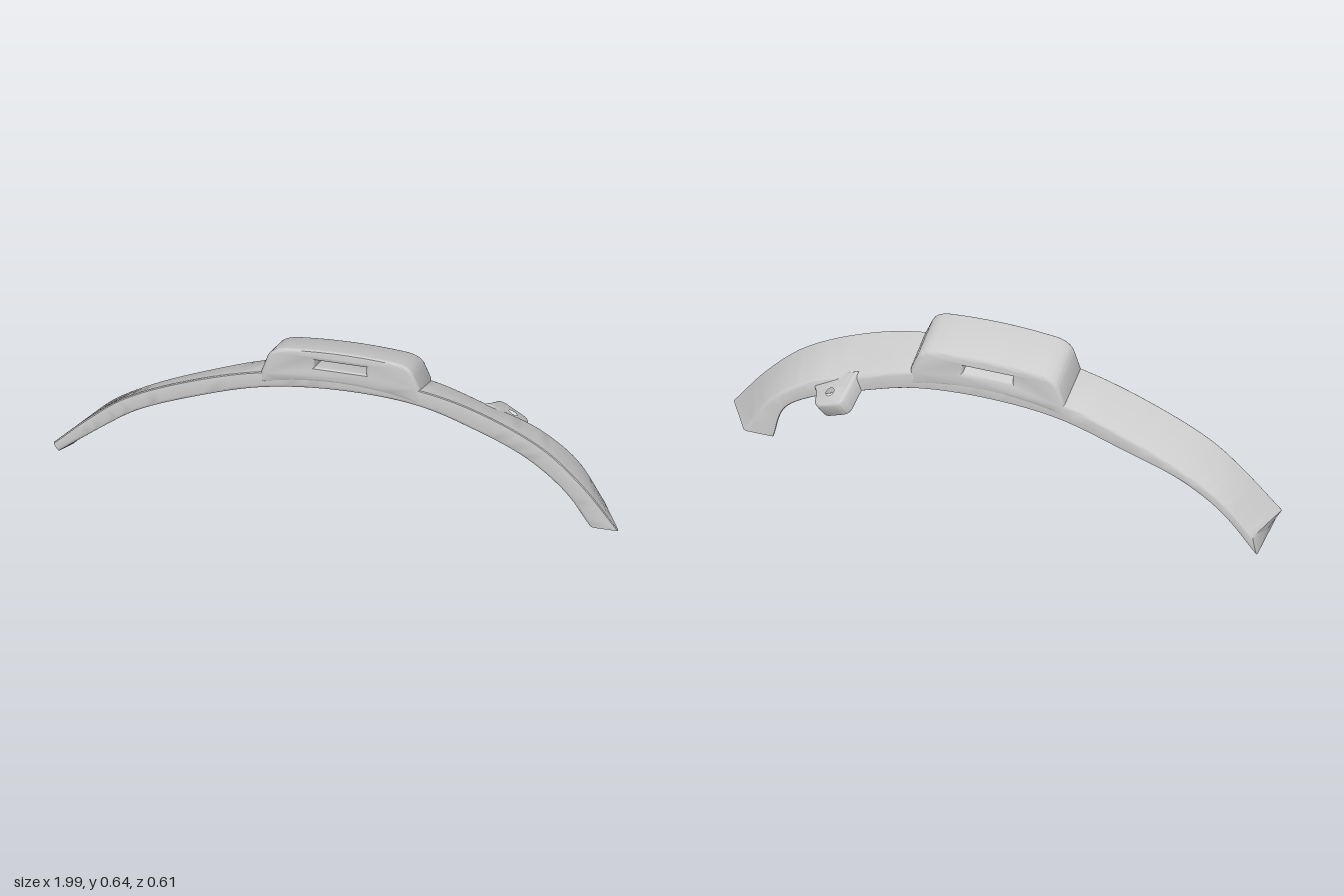
import * as THREE from 'three';
import { toCreasedNormals } from 'three/addons/utils/BufferGeometryUtils.js';

const YAW = 0.222; // the whole arch is turned slightly about the vertical
const material = new THREE.MeshStandardMaterial({ color: 0xcccccc });

function addMesh(group, name, geometry, crease = 0.7) {
  const mesh = new THREE.Mesh(toCreasedNormals(geometry, crease), material);
  mesh.name = name;
  group.add(mesh);
  return mesh;
}

// One long edge of the band: a smooth curve through x, y points on a slanted vertical plane
function edge(points, z0, slope) {
  return new THREE.CatmullRomCurve3(
    points.map(([x, y]) => new THREE.Vector3(x, y, z0 - slope * x)), false, 'centripetal');
}

// Loft of four-cornered cross-sections with rounded corners
function bandGeometry(edges, steps, radius) {
  const positions = [], indices = [], rounding = 3;
  const n = edges.length * (rounding + 1);
  for (let i = 0; i <= steps; i++) {
    const corners = edges.map((e) => e.getPoint(i / steps));
    corners.forEach((p, k) => {
      const toward = (q) => q.clone().sub(p).setLength(radius).add(p);
      const round = new THREE.QuadraticBezierCurve3(
        toward(corners[(k + 3) % 4]), p, toward(corners[(k + 1) % 4]));
      for (let s = 0; s <= rounding; s++) positions.push(...round.getPoint(s / rounding).toArray());
    });
  }
  for (let i = 0; i < steps; i++) {
    for (let j = 0; j < n; j++) {
      const k = (j + 1) % n;
      const a = i * n + j, b = a + n, c = (i + 1) * n + k, d = i * n + k;
      indices.push(a, b, c, a, c, d);
    }
  }
  // End caps
  for (const [ring, t] of [[0, 0], [steps, 1]]) {
    const middle = new THREE.Vector3();
    edges.forEach((e) => middle.addScaledVector(e.getPoint(t), 0.25));
    const centre = positions.length / 3;
    positions.push(...middle.toArray());
    for (let j = 0; j < n; j++) {
      const a = ring * n + j, b = ring * n + (j + 1) % n;
      indices.push(centre, t ? b : a, t ? a : b);
    }
  }
  const geometry = new THREE.BufferGeometry();
  geometry.setAttribute('position', new THREE.Float32BufferAttribute(positions, 3));
  geometry.setIndex(indices);
  return geometry;
}

// Extrusion along z from `from` to `to` with softened rims kept inside the outline
function softExtrude(shape, from, to, bevel) {
  const geometry = new THREE.ExtrudeGeometry(shape, {
    depth: to - from - 2 * bevel, curveSegments: 10, bevelEnabled: true,
    bevelThickness: bevel, bevelSize: bevel, bevelOffset: -bevel, bevelSegments: 3,
  });
  return geometry.translate(0, 0, from + bevel);
}

export function createModel() {
  const model = new THREE.Group();
  model.name = 'archedBand';

  // Band: front edges sit higher and wider than the back ones, like a strip of a cone
  const frontOuter = edge([[-1, 0.1], [-0.87, 0.23], [-0.75, 0.33], [-0.55, 0.43], [-0.28, 0.52], [0, 0.555],
    [0.3, 0.54], [0.52, 0.48], [0.74, 0.365], [0.88, 0.23], [1, 0.072]], 0.081, 0.223);
  const backOuter = edge([[-0.985, 0.075], [-0.87, 0.2], [-0.74, 0.285], [-0.54, 0.38], [-0.28, 0.475], [0, 0.505],
    [0.26, 0.475], [0.46, 0.405], [0.63, 0.34], [0.77, 0.23], [0.86, 0.08]], -0.095, 0.228);
  const backInner = edge([[-1, 0], [-0.87, 0.15], [-0.72, 0.25], [-0.52, 0.325], [-0.27, 0.405], [0, 0.427],
    [0.25, 0.405], [0.43, 0.35], [0.59, 0.29], [0.71, 0.21], [0.75, 0.08]], -0.095, 0.228);
  const frontInner = edge([[-0.98, 0.068], [-0.83, 0.19], [-0.71, 0.28], [-0.53, 0.365], [-0.27, 0.455], [0, 0.49],
    [0.28, 0.475], [0.47, 0.415], [0.67, 0.32], [0.81, 0.2], [0.9, 0.072]], 0.081, 0.223);
  addMesh(model, 'band', bandGeometry([frontOuter, backOuter, backInner, frontInner], 70, 0.012));

  // Raised block on the crown with a slot from front to back
  const block = new THREE.Shape();
  block.moveTo(-0.29, 0.48);
  block.quadraticCurveTo(0, 0.555, 0.285, 0.48);
  block.lineTo(0.285, 0.545);
  block.lineTo(0.262, 0.6);
  block.quadraticCurveTo(0.25, 0.632, 0.2, 0.64);
  block.quadraticCurveTo(0, 0.66, -0.2, 0.637);
  block.quadraticCurveTo(-0.255, 0.628, -0.268, 0.59);
  block.lineTo(-0.29, 0.525);
  const slot = new THREE.Path();
  slot.moveTo(-0.095, 0.575);
  slot.lineTo(-0.095, 0.603);
  slot.lineTo(0.09, 0.603);
  slot.lineTo(0.09, 0.575);
  block.holes.push(slot);
  const blockGeometry = softExtrude(block, -0.094, 0.082, 0.014);
  // Lean the block down toward the back with the band
  const p = blockGeometry.attributes.position;
  for (let i = 0; i < p.count; i++) p.setY(i, p.getY(i) + (p.getZ(i) - 0.08) * 0.34);
  blockGeometry.computeVertexNormals();
  addMesh(model, 'slottedBlock', blockGeometry).rotation.y = YAW;

  // Small pierced lug on the back edge, lying in the slope of the band
  const lug = new THREE.Shape();
  lug.moveTo(-0.09, -0.085);
  lug.lineTo(-0.08, -0.03);
  lug.lineTo(-0.072, 0.03);
  lug.quadraticCurveTo(-0.068, 0.056, -0.04, 0.058);
  lug.lineTo(0.025, 0.058);
  lug.quadraticCurveTo(0.052, 0.055, 0.06, 0.03);
  lug.quadraticCurveTo(0.068, -0.02, 0.1, -0.045);
  lug.lineTo(0.1, -0.085);
  const eye = new THREE.Path();
  eye.absarc(0, 0, 0.027, 0, Math.PI * 2, true);
  lug.holes.push(eye);
  const normal = new THREE.Vector3(0.36, 0.82, -0.44).normalize();
  const back = normal.clone().cross(new THREE.Vector3(0.976, 0, -0.22)).normalize();
  const along = back.clone().cross(normal);
  const lugGeometry = softExtrude(lug, -0.068, 0, 0.01);
  lugGeometry.applyMatrix4(new THREE.Matrix4().makeBasis(along, back, normal).setPosition(0.522, 0.355, -0.26));
  addMesh(model, 'piercedLug', lugGeometry);

  return model;
}
